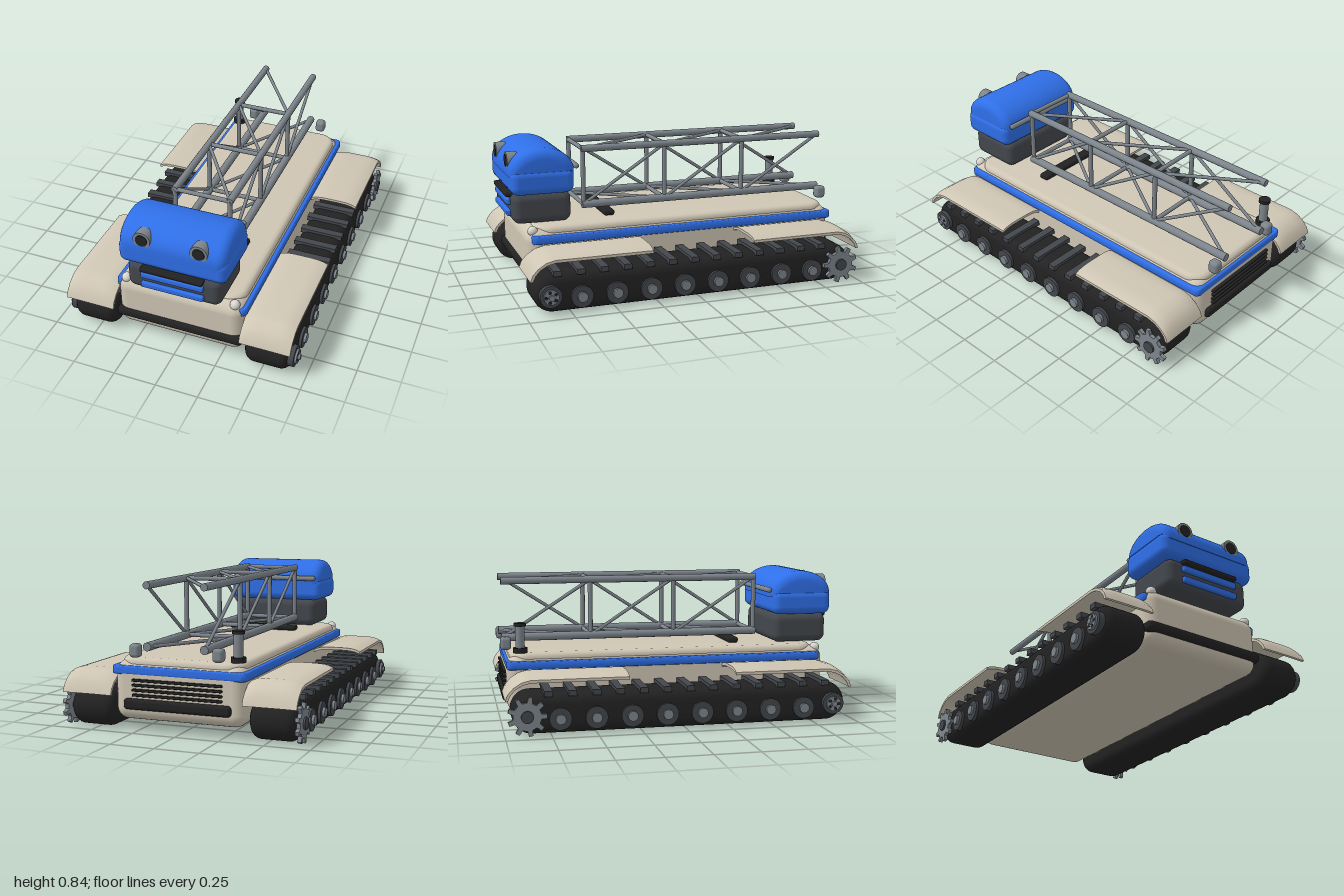
import * as THREE from 'three';
import { toCreasedNormals } from 'three/addons/utils/BufferGeometryUtils.js';
import { RoundedBoxGeometry } from 'three/addons/geometries/RoundedBoxGeometry.js';

const mat = (color) => new THREE.MeshStandardMaterial({ color });
const TAN = mat(0xcfc6b4), BLUE = mat(0x2f6fe8), BLACK = mat(0x222222);
const DARK = mat(0x43474c), STEEL = mat(0x7d858c), LIGHT = mat(0xdad7d0);

export function createModel() {
  const root = new THREE.Group();
  root.name = 'crawlerCrane';

  const add = (name, geo, material, x = 0, y = 0, z = 0, parent = root) => {
    const m = new THREE.Mesh(geo, material);
    m.name = name;
    m.position.set(x, y, z);
    parent.add(m);
    return m;
  };
  const rbox = (w, h, d, r) => new RoundedBoxGeometry(w, h, d, 4, r);
  const cylX = (r, len, n = 24) => new THREE.CylinderGeometry(r, r, len, n).rotateZ(Math.PI / 2);
  const cylZ = (r, len) => new THREE.CylinderGeometry(r, r, len, 28).rotateX(Math.PI / 2);
  const V = (x, y, z) => new THREE.Vector3(x, y, z);

  // Extrusion centred on its depth, with the bevel kept inside the outline
  const extrude = (shape, depth, bevel, steps = 1) => {
    const g = new THREE.ExtrudeGeometry(shape, {
      depth: depth - 2 * bevel, steps, curveSegments: 14,
      bevelEnabled: bevel > 0, bevelSize: bevel, bevelThickness: bevel, bevelOffset: -bevel, bevelSegments: 5,
    });
    return g.translate(0, 0, bevel - depth / 2);
  };
  // Side profile (z, y) extruded across x
  const across = (shape, width, bevel, steps) =>
    toCreasedNormals(extrude(shape, width, bevel, steps).rotateY(-Math.PI / 2), 0.6);
  // Rounded plan outline extruded upwards
  const slab = (w, l, h, r, bevel) => {
    const s = new THREE.Shape(), a = w / 2 - r, b = l / 2 - r;
    s.absarc(a, b, r, 0, Math.PI / 2);
    s.absarc(-a, b, r, Math.PI / 2, Math.PI);
    s.absarc(-a, -b, r, Math.PI, Math.PI * 1.5);
    s.absarc(a, -b, r, Math.PI * 1.5, Math.PI * 2);
    return toCreasedNormals(extrude(s, h, bevel).rotateX(-Math.PI / 2), 0.6);
  };
  // Round bar between two points
  const bar = (name, a, b, r, parent) => {
    const m = add(name, new THREE.CylinderGeometry(r, r, a.distanceTo(b), 12), STEEL, 0, 0, 0, parent);
    m.position.copy(a).lerp(b, 0.5);
    m.quaternion.setFromUnitVectors(V(0, 1, 0), b.clone().sub(a).normalize());
  };

  // Hull, trim band and deck
  add('hull', rbox(0.76, 0.33, 1.885, 0.07), TAN, 0, 0.235, -0.0225);
  add('trimBand', slab(0.78, 1.86, 0.048, 0.03, 0.01), BLUE, 0, 0.347, -0.037);
  add('deck', slab(0.72, 1.81, 0.09, 0.1, 0.03), TAN, 0, 0.37, -0.04);
  add('frontBumper', rbox(0.76, 0.06, 0.14, 0.025), BLACK, 0, 0.165, 0.868);
  add('rearBumper', rbox(0.62, 0.06, 0.08, 0.02), BLACK, 0, 0.165, -0.95);
  for (let i = 0; i < 4; i++)
    add('rearGrilleSlat', rbox(0.52, 0.014, 0.03, 0.005), BLACK, 0, 0.215 + i * 0.027, -0.967);
  add('deckBar', rbox(0.45, 0.035, 0.065, 0.015), BLACK, 0, 0.432, 0.4);

  // Front lamps and rear lugs
  for (const s of [-1, 1]) {
    add('lampBase', new THREE.CylinderGeometry(0.02, 0.025, 0.03, 16), STEEL, s * 0.325, 0.375, 0.875);
    add('lamp', new THREE.SphereGeometry(0.029, 20, 14), LIGHT, s * 0.325, 0.39, 0.88);
    add('rearLug', rbox(0.06, 0.075, 0.062, 0.02), STEEL, s * 0.24, 0.458, -0.962);
  }

  // Exhaust stack
  add('exhaustBase', new THREE.CylinderGeometry(0.041, 0.041, 0.028, 24), BLACK, -0.32, 0.428, -0.885);
  add('exhaustPipe', new THREE.CylinderGeometry(0.026, 0.026, 0.15, 24), STEEL, -0.32, 0.5, -0.885);
  add('exhaustCap', new THREE.CylinderGeometry(0.034, 0.034, 0.018, 24), BLACK, -0.32, 0.574, -0.885);

  // Cab: grey base with strips, blue head with domed top
  const cab = new THREE.Group();
  cab.name = 'cab';
  root.add(cab);
  add('cabBase', rbox(0.55, 0.175, 0.335, 0.045), DARK, 0, 0.503, 0.805, cab);
  add('visorStrip', rbox(0.365, 0.025, 0.05, 0.008), BLACK, 0, 0.574, 0.975, cab);
  for (const y of [0.533, 0.468])
    add('cabStrip', rbox(0.365, 0.035, 0.04, 0.008), BLUE, 0, y, 0.973, cab);
  add('headLower', rbox(0.63, 0.145, 0.362, 0.045), BLUE, 0, 0.66, 0.806, cab);
  const dome = new THREE.Shape();
  dome.moveTo(0.62, 0.69);
  dome.lineTo(0.99, 0.69);
  dome.absellipse(0.805, 0.717, 0.185, 0.13, 0, Math.PI, false);
  add('headDome', across(dome, 0.62, 0.055), BLUE, 0, 0, 0, cab);
  for (const s of [-1, 1]) {
    add('eyeRing', cylZ(0.05, 0.06), STEEL, s * 0.163, 0.77, 0.958, cab);
    add('eyeLens', cylZ(0.035, 0.064), DARK, s * 0.163, 0.77, 0.959, cab).material = BLACK;
  }
  add('rearHandle', new THREE.CapsuleGeometry(0.016, 0.54, 6, 12).rotateZ(Math.PI / 2), STEEL, 0, 0.735, 0.607, cab);

  // Lattice boom
  const boom = new THREE.Group();
  boom.name = 'boom';
  root.add(boom);
  const X = 0.165, LO = 0.482, HI = 0.81, stations = [0.54, 0.04, -0.46, -0.97];
  for (const s of [-1, 1]) {
    bar('lowerChord', V(s * X, LO, 0.55), V(s * X, LO, -0.98), 0.024, boom);
    bar('upperChord', V(s * X, HI, 0.55), V(s * X, HI, -0.98), 0.021, boom);
  }
  for (let i = 0; i < 3; i++) {
    const a = stations[i], b = stations[i + 1];
    for (const s of [-1, 1]) bar('boomPost', V(s * X, LO, a), V(s * X, HI, a), 0.014, boom);
    for (const y of [LO, HI]) bar('boomCrossbar', V(-X, y, a), V(X, y, a), 0.013, boom);
    bar('sideBrace', V(X, LO, a), V(X, HI, b), 0.01, boom);
    bar('sideBrace', V(-X, HI, a), V(-X, LO, b), 0.01, boom);
    bar('topBrace', V(X, HI, a), V(-X, HI, b), 0.01, boom);
    bar('bottomBrace', V(-X, LO, a), V(X, LO, b), 0.01, boom);
  }

  // Track belt outline and sprocket outline
  const belt = new THREE.Shape();
  belt.absarc(0.84, 0.12, 0.11, -Math.PI / 2, Math.PI / 2);
  belt.absarc(-0.85, 0.12, 0.11, Math.PI / 2, Math.PI * 1.5);
  const beltGeo = across(belt, 0.262, 0.055);
  const gear = new THREE.Shape(), TEETH = 9;
  for (let i = 0; i < TEETH; i++)
    [[-0.25, 0.078], [-0.15, 0.108], [0.15, 0.108], [0.25, 0.078]].forEach(([o, r], k) => {
      const t = ((i + o) / TEETH) * Math.PI * 2;
      gear[i + k ? 'lineTo' : 'moveTo'](r * Math.cos(t), r * Math.sin(t));
    });
  const gearGeo = across(gear, 0.022, 0);

  // Thin fender curling down at its end, slightly cambered across
  const fender = (dir, start, end) => {
    const out = [[start, 0.336], [end - 0.14, 0.336], [end - 0.09, 0.324], [end - 0.045, 0.294], [end - 0.015, 0.253], [end, 0.208]];
    const inner = [[end - 0.016, 0.208], [end - 0.03, 0.247], [end - 0.057, 0.284], [end - 0.097, 0.31], [end - 0.14, 0.32], [start, 0.32]];
    const s = new THREE.Shape([...out, ...inner].map(([z, y]) => new THREE.Vector2(dir * z, y)));
    const g = extrude(s, 0.295, 0, 12).rotateY(-Math.PI / 2), p = g.attributes.position;
    for (let i = 0; i < p.count; i++)
      p.setY(i, p.getY(i) - 0.02 * Math.pow(Math.abs(p.getX(i)) / 0.1475, 4) * Math.min(1, (p.getY(i) - 0.2) / 0.1));
    return toCreasedNormals(g, 0.6);
  };
  const frontFender = fender(1, 0.285, 0.975), rearFender = fender(-1, 0.32, 0.997);

  for (const s of [-1, 1]) {
    const track = new THREE.Group();
    track.name = s > 0 ? 'leftTrack' : 'rightTrack';
    root.add(track);
    const put = (name, geo, material, x, y, z) => add(name, geo, material, s * x, y, z, track);
    put('belt', beltGeo, BLACK, 0.525, 0, 0);
    put('frontFender', frontFender, TAN, 0.5275, 0, 0);
    put('rearFender', rearFender, TAN, 0.5275, 0, 0);
    for (let i = 0; i < 13; i++)
      put('cleat', new THREE.BoxGeometry(0.262, 0.03, 0.046), DARK, 0.525, 0.233, 0.822 - i * 0.132);
    // Road wheels
    for (let i = 0; i < 8; i++) {
      const z = 0.69 - i * 0.1985;
      put('roadWheel', cylX(0.062, 0.04), DARK, 0.652, 0.096, z);
      put('wheelHub', cylX(0.028, 0.03), STEEL, 0.672, 0.096, z);
    }
    // Front idler with bolt recesses
    put('idler', cylX(0.062, 0.05), DARK, 0.655, 0.115, 0.865);
    put('idlerHub', cylX(0.042, 0.04), STEEL, 0.672, 0.115, 0.865);
    put('idlerAxle', cylX(0.016, 0.05), STEEL, 0.68, 0.115, 0.865);
    for (let i = 0; i < 5; i++) {
      const t = i * Math.PI * 0.4;
      put('idlerBolt', cylX(0.01, 0.042, 10), BLACK, 0.672, 0.115 + 0.029 * Math.sin(t), 0.865 + 0.029 * Math.cos(t));
    }
    // Rear drive sprocket
    put('sprocket', gearGeo, STEEL, 0.673, 0.118, -0.88);
    put('sprocketHub', cylX(0.034, 0.05), DARK, 0.67, 0.118, -0.88);
  }
  return root;
}
